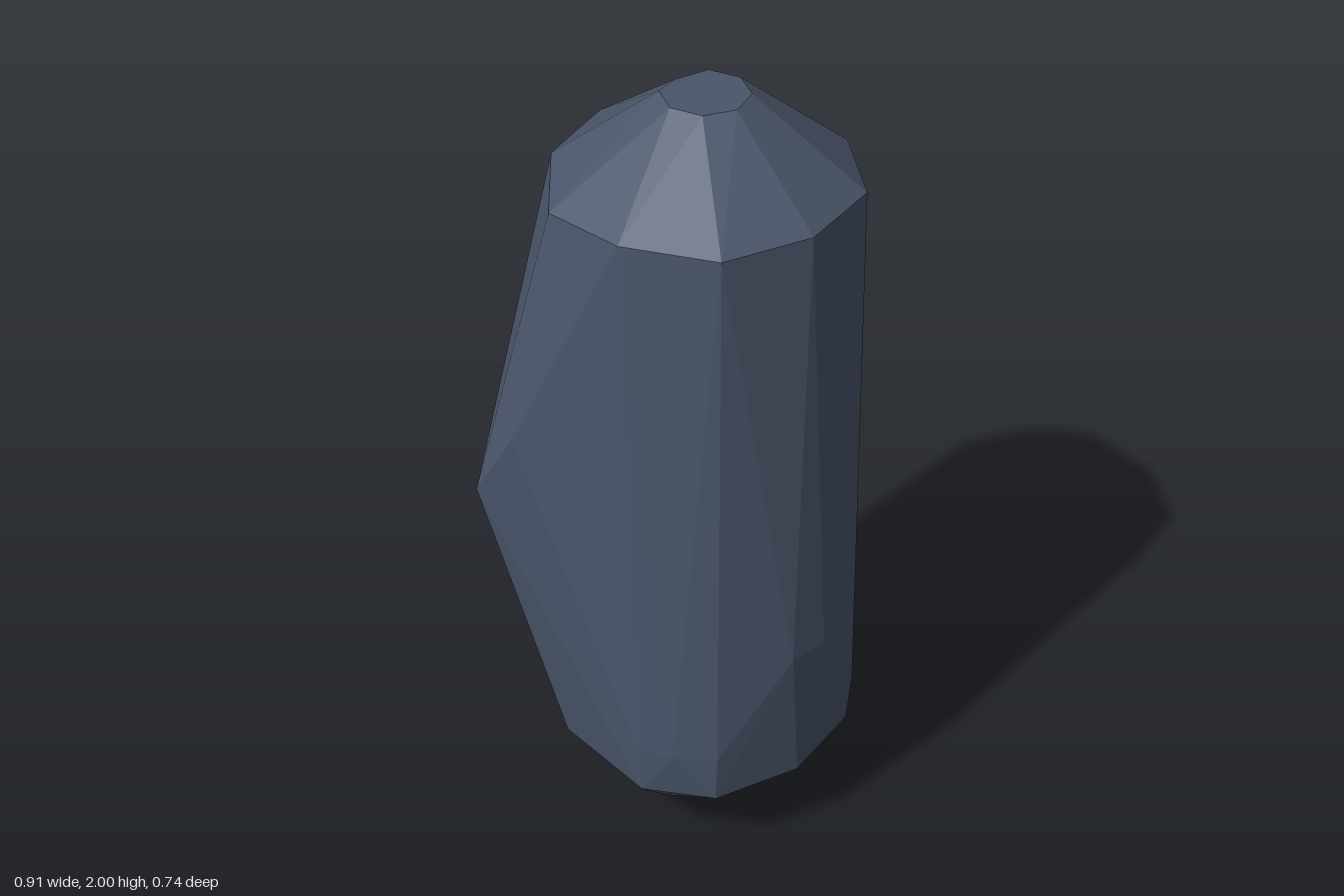
import * as THREE from 'three';
import { ConvexGeometry } from 'three/addons/geometries/ConvexGeometry.js';

export function createModel() {
  const group = new THREE.Group();
  group.name = 'facetedStone';
  const points = [];
  const add = (x, y, z) => points.push(new THREE.Vector3(x, y, z));
  const mirror = (x, y, z) => { add(x, y, z); add(-x, y, z); };

  // small crown
  for (let i = 0; i < 8; i++) {
    const a = (i * Math.PI) / 4;
    add(0.1 * Math.cos(a), i === 6 ? 1.99 : 2, 0.1 * Math.sin(a));
  }

  // shoulder ring
  add(0, 1.8, 0.345);
  add(0, 1.8, -0.365);
  mirror(0.21, 1.8, 0.29);
  mirror(0.332, 1.8, 0.1);
  mirror(0.2, 1.8, -0.29);
  add(0.335, 1.8, -0.12);
  add(0.31, 1.8, -0.17);
  add(0.26, 1.8, -0.24);
  add(-0.35, 1.79, -0.11);

  // wide side corners, set towards the back
  mirror(0.456, 0.98, -0.3);
  mirror(0.447, 1.2, -0.16);

  // belly and back
  mirror(0.05, 0.65, 0.372);
  mirror(0.05, 0.65, -0.372);
  mirror(0.225, 0.38, 0.3);
  mirror(0.3, 0.38, 0.22);
  mirror(0.345, 0.38, 0.145);
  mirror(0.2, 0.38, -0.31);

  // lower ring
  add(0, 0.24, 0.345);
  add(0, 0.24, -0.34);
  mirror(0.22, 0.24, 0.29);
  mirror(0.335, 0.24, 0.145);
  mirror(0.34, 0.24, -0.14);

  // flat foot
  mirror(0.15, 0, 0.02);
  mirror(0.15, 0, -0.16);

  const stone = new THREE.Mesh(
    new ConvexGeometry(points),
    new THREE.MeshStandardMaterial({ color: 0x4b566b, flatShading: true })
  );
  stone.name = 'stone';
  group.add(stone);
  return group;
}
